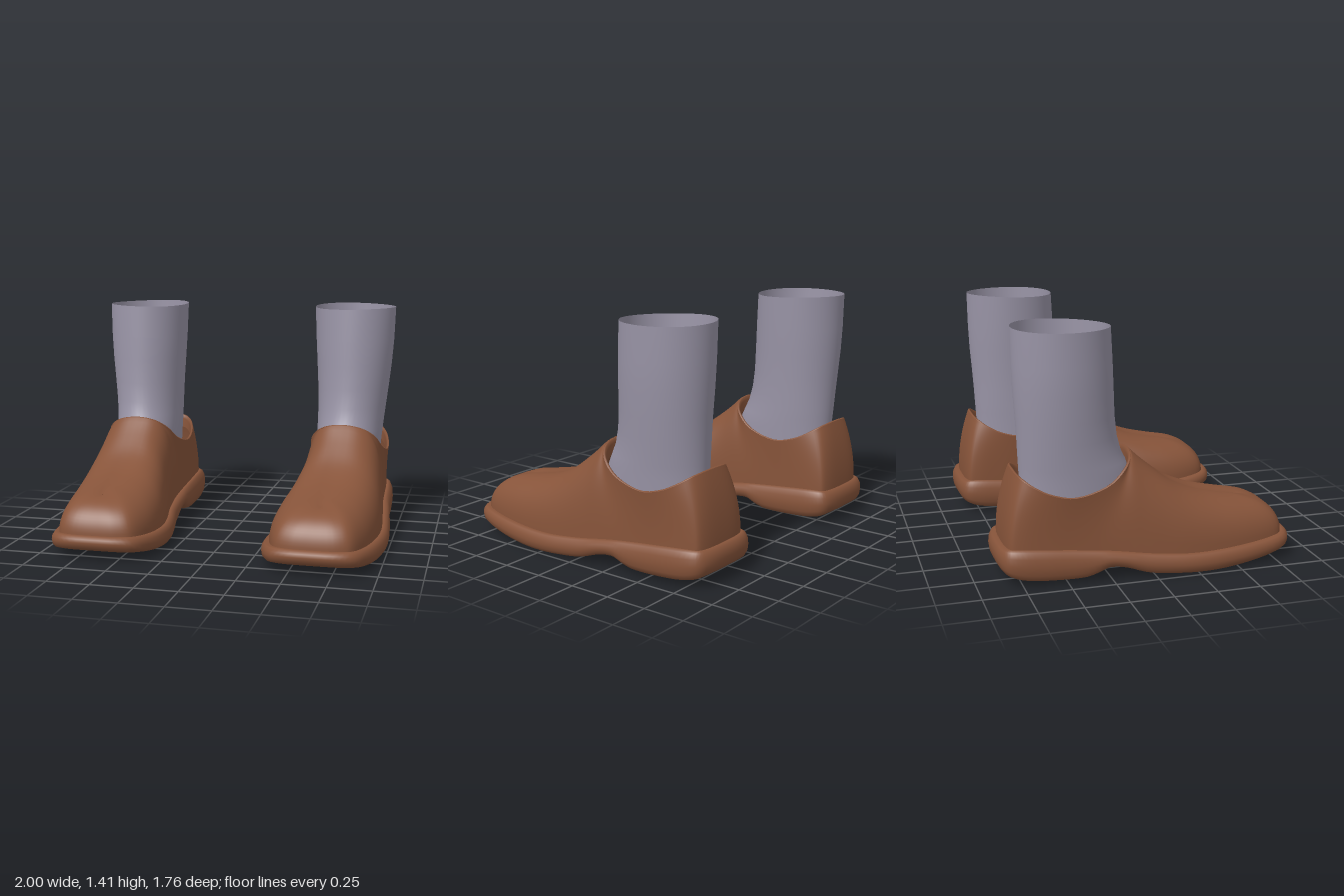
import * as THREE from 'three';
import { mergeVertices } from 'three/addons/utils/BufferGeometryUtils.js';

const leather = new THREE.MeshStandardMaterial({ name: 'brownLeather', color: 0x87543a, side: THREE.DoubleSide });
const knit = new THREE.MeshStandardMaterial({ name: 'greySock', color: 0x9a95a7, side: THREE.DoubleSide });

// Stations from toe to heel: z, outer x and inner x of the sole edge,
// then x, z, y of the point where the upper ends (instep ridge, then collar).
const STATIONS = [
  [0.875, 0.645, 0.645, 0.655, 0.6, 0.34],
  [0.865, 0.8, 0.49, 0.655, 0.57, 0.346],
  [0.8, 0.9, 0.375, 0.655, 0.5, 0.362],
  [0.62, 0.957, 0.312, 0.655, 0.42, 0.38],
  [0.4, 0.99, 0.302, 0.655, 0.28, 0.42],
  [0.2, 1.0, 0.332, 0.66, 0.14, 0.49],
  [0.03, 0.99, 0.368, 0.665, 0.01, 0.595],
  [-0.09, 0.978, 0.383, 0.665, -0.09, 0.69],
  [-0.16, 0.97, 0.388, 0.79, -0.105, 0.67],
  [-0.24, 0.962, 0.39, 0.87, -0.16, 0.615],
  [-0.33, 0.955, 0.39, 0.905, -0.27, 0.535],
  [-0.47, 0.948, 0.39, 0.92, -0.45, 0.49],
  [-0.62, 0.942, 0.39, 0.912, -0.59, 0.515],
  [-0.76, 0.928, 0.396, 0.885, -0.685, 0.56],
  [-0.84, 0.895, 0.425, 0.84, -0.738, 0.595],
  [-0.873, 0.81, 0.51, 0.77, -0.76, 0.61],
  [-0.88, 0.66, 0.66, 0.665, -0.765, 0.615],
];
const FRONT = 7;  // station where the ridge meets the collar
const LAST = STATIONS.length - 1;
const RING = LAST * 2, SUB = 4, COLS = RING * SUB;
const COLLAR = (LAST - FRONT) * 2;
const AXIS = 0.655;

const V = (x, y, z) => new THREE.Vector3(x, y, z);
const spline = (pts, closed) => new THREE.CatmullRomCurve3(pts, closed, 'catmullrom', 0.5);
const { lerp, smoothstep } = THREE.MathUtils;

// Smooth height along z from [z, y] pairs, listed with falling z.
function heightAlong(pairs) {
  return (z) => {
    if (z >= pairs[0][0]) return pairs[0][1];
    for (let i = 1; i < pairs.length; i++) {
      const [z0, y0] = pairs[i - 1], [z1, y1] = pairs[i];
      if (z < z1) continue;
      const p = pairs[Math.max(i - 2, 0)], n = pairs[Math.min(i + 1, pairs.length - 1)];
      const h = z1 - z0, t = (z - z0) / h;
      const m0 = (y1 - p[1]) / (z1 - p[0]) * h, m1 = (n[1] - y0) / (n[0] - z0) * h;
      const a = t * t, b = a * t;
      return (2 * b - 3 * a + 1) * y0 + (b - 2 * a + t) * m0 + (3 * a - 2 * b) * y1 + (b - a) * m1;
    }
    return pairs[pairs.length - 1][1];
  };
}
const soleBottom = heightAlong([[0.88, 0.075], [0.8, 0.052], [0.6, 0.02], [0.35, 0], [0.1, 0.008], [-0.05, 0.025],
  [-0.18, 0.065], [-0.27, 0.072], [-0.33, 0.045], [-0.4, 0.022], [-0.55, 0.018], [-0.75, 0.032], [-0.88, 0.075]]);
const soleTop = heightAlong([[0.88, 0.155], [0.6, 0.13], [0.25, 0.118], [0, 0.135], [-0.25, 0.168], [-0.5, 0.195],
  [-0.75, 0.215], [-0.88, 0.21]]);

// Sole outline, instep ridge and collar as curves.
const innerHalf = (from) => STATIONS.slice(from, LAST).reverse();
const outline = spline([
  ...STATIONS.map((s) => V(s[1], 0, s[0])),
  ...innerHalf(1).map((s) => V(s[2], 0, s[0])),
], true);
const ridge = spline(STATIONS.slice(0, FRONT + 1).map((s) => V(s[3], s[5], s[4])), false);
const collar = spline([
  ...STATIONS.slice(FRONT).map((s) => V(s[3], s[5], s[4])),
  ...innerHalf(FRONT + 1).map((s) => V(0.665 - (s[3] - 0.665) * 0.92, s[5], s[4])),
], true);

// Outline point of a column, moved inwards by d.
function edge(k, d) {
  const u = (k % COLS) / COLS;
  const p = outline.getPoint(u), t = outline.getTangent(u);
  return V(p.x + t.z * d, 0, p.z - t.x * d);
}

// Smooth skin over closed rings; side -1 mirrors it in x.
function skin(name, material, side, cols, rows, at) {
  const pos = [], index = [];
  for (let r = 0; r < rows; r++) {
    for (let k = 0; k < cols; k++) {
      const p = at(k, r);
      pos.push(p.x * side, p.y, p.z);
    }
  }
  for (let r = 0; r < rows - 1; r++) {
    for (let k = 0; k < cols; k++) {
      const a = r * cols + k, b = r * cols + (k + 1) % cols, c = b + cols, d = a + cols;
      if (side > 0) index.push(a, b, c, a, c, d);
      else index.push(a, c, b, a, d, c);
    }
  }
  let geo = new THREE.BufferGeometry();
  geo.setAttribute('position', new THREE.Float32BufferAttribute(pos, 3));
  geo.setIndex(index);
  geo = mergeVertices(geo, 1e-4);
  geo.computeVertexNormals();
  const mesh = new THREE.Mesh(geo, material);
  mesh.name = name;
  return mesh;
}

// Sole section as [inset, share of thickness]; null inset is the centre line.
const SOLE = [[null, 0], [0.06, 0], [0.022, 0.07], [0.005, 0.25], [0, 0.5], [0.004, 0.75], [0.018, 0.94],
  [0.036, 1], [0.06, 0.95], [null, 0.9]];
function solePoint(k, r) {
  const [inset, f] = SOLE[r];
  const p = edge(k, inset ?? 0.06);
  if (inset === null) p.x = AXIS;
  p.y = lerp(soleBottom(p.z), soleTop(p.z), f);
  return p;
}

// Upper: domed over the toe and instep, near-upright walls below the collar.
const UPPER_ROWS = 17;
function upperPoint(k, r) {
  const f = k / SUB, m = Math.min(f, RING - f), t = r / (UPPER_ROWS - 1);
  const base = edge(k, 0.045);
  base.y = soleTop(base.z) - 0.012;
  const end = m <= FRONT ? ridge.getPoint(m / FRONT) : collar.getPoint((f - FRONT) / COLLAR);
  const e = 2 / lerp(2.1, 2.7, Math.min(m / FRONT, 1));
  const c = Math.max(Math.cos(t * Math.PI / 2), 0), s = Math.sin(t * Math.PI / 2);
  const w = smoothstep(m, FRONT, FRONT + 3);
  const across = lerp(1 - (r === UPPER_ROWS - 1 ? 0 : c ** e), t * t, w);
  const up = lerp(s ** e, t, w);
  return V(lerp(base.x, end.x, across), lerp(base.y, end.y, up), lerp(base.z, end.z, across));
}

// Rolled collar edge, as [inward, drop].
const ROLL = [[0, 0], [0.006, -0.005], [0.014, 0], [0.019, 0.02], [0.02, 0.08]];
function rollPoint(k, r) {
  const p = collar.getPoint(k / (COLLAR * SUB));
  const inward = V(0.67 - p.x, 0, -0.43 - p.z).normalize();
  p.addScaledVector(inward, ROLL[r][0]);
  p.y -= ROLL[r][1];
  return p;
}

// Sock rings: y, inner x, outer x, back z, front z.
const SOCK = [
  [0.42, 0.475, 0.87, -0.715, -0.05], [0.55, 0.47, 0.878, -0.718, -0.07], [0.63, 0.468, 0.885, -0.722, -0.108],
  [0.69, 0.468, 0.89, -0.725, -0.138], [0.78, 0.466, 0.9, -0.729, -0.163], [0.9, 0.462, 0.914, -0.736, -0.178],
  [1.05, 0.453, 0.93, -0.747, -0.185], [1.2, 0.444, 0.941, -0.753, -0.192], [1.4, 0.435, 0.948, -0.756, -0.203],
];
function sockPoint(k, r) {
  const [y, x0, x1, z0, z1] = SOCK[r], a = k / 48 * Math.PI * 2;
  const wave = r === SOCK.length - 1 ? 0.005 * (1 - Math.cos(a)) + 0.003 * Math.sin(2 * a) : 0;
  return V((x0 + x1) / 2 + (x1 - x0) / 2 * Math.sin(a), y + wave, (z0 + z1) / 2 + (z1 - z0) / 2 * Math.cos(a));
}

export function createModel() {
  const model = new THREE.Group();
  model.name = 'shoesWithSocks';
  for (const [side, label] of [[1, 'left'], [-1, 'right']]) {
    const foot = new THREE.Group();
    foot.name = label + 'Foot';
    foot.add(
      skin('sole', leather, side, COLS, SOLE.length, solePoint),
      skin('upper', leather, side, COLS, UPPER_ROWS, upperPoint),
      skin('collarEdge', leather, side, COLLAR * SUB, ROLL.length, rollPoint),
      skin('sock', knit, side, 48, SOCK.length, sockPoint),
    );
    model.add(foot);
  }
  return model;
}
